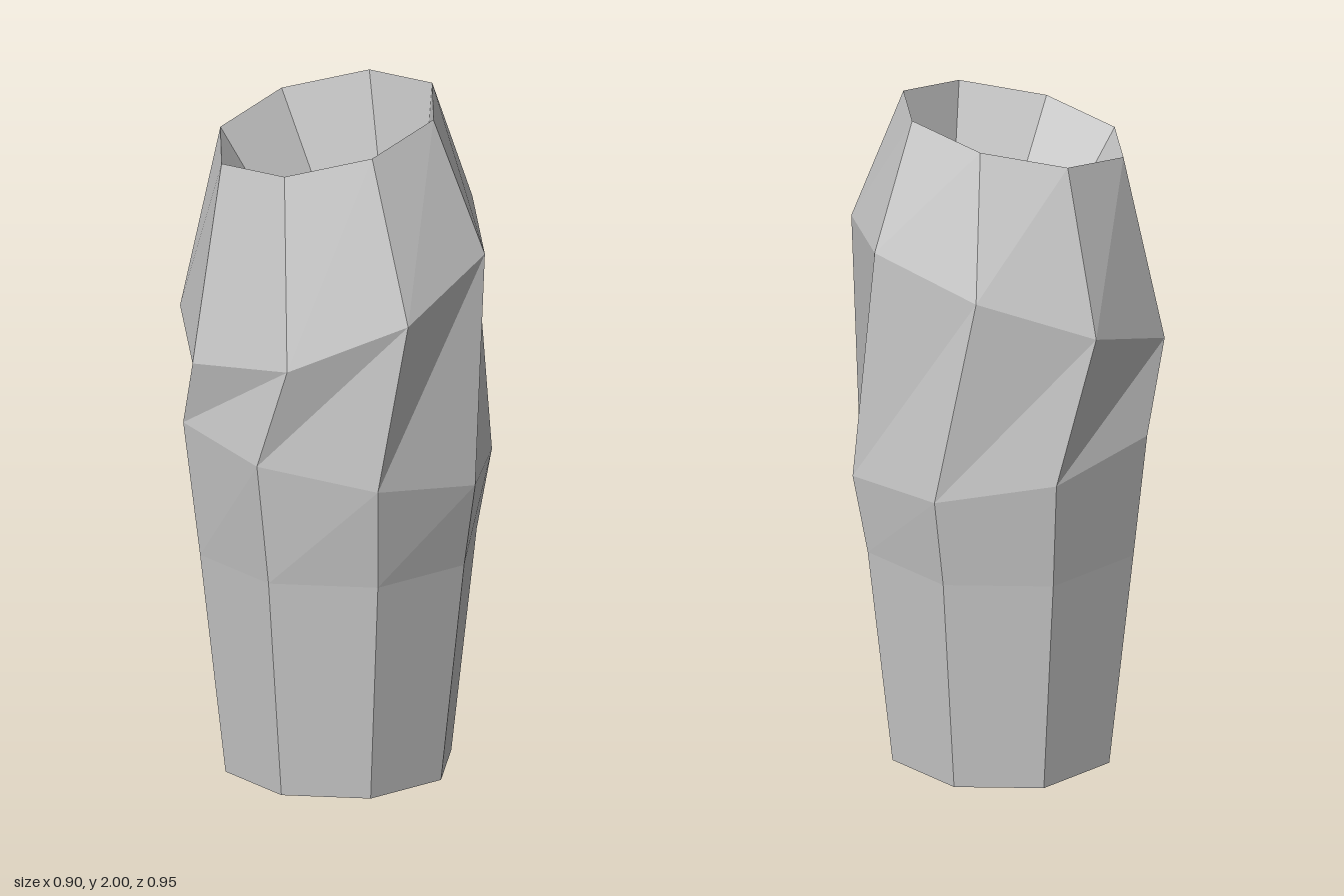
import * as THREE from 'three';

const SIDES = 8;

// Each ring is a tilted octagon: centre, arm towards +x, arm towards +z
const RINGS = [
  [[0, 0, 0], [0.333, 0, 0], [0, 0, 0.333]], // base
  [[0, 0.66, 0], [0.408, 0, 0], [0, 0, 0.408]], // lower body
  [[-0.0025, 0.98, 0], [0.4525, -0.08, 0.01], [-0.0125, -0.015, 0.46]], // waist bend
  [[-0.0175, 1.45, 0], [0.4375, 0.18, -0.087], [0.0875, 0.01, 0.475]], // twisted shoulder
  [[-0.034, 1.9225, 0], [0.3215, 0.0775, -0.038], [0.039, 0.0025, 0.3315]], // rim
  [[0.022, 1.685, -0.005], [0.245, 0.058, -0.03], [0.0275, 0, 0.255]], // inner edge of the hollow
];
const HOLLOW_BOTTOM = [0.07, 1.475, -0.01];

function ringPoints([centre, u, v]) {
  return Array.from({ length: SIDES }, (_, i) => {
    const a = (i / SIDES) * Math.PI * 2;
    return centre.map((c, k) => c + u[k] * Math.cos(a) + v[k] * Math.sin(a));
  });
}

function makeMesh(name, positions) {
  const geometry = new THREE.BufferGeometry();
  geometry.setAttribute('position', new THREE.Float32BufferAttribute(positions.flat(), 3));
  geometry.computeVertexNormals();
  const mesh = new THREE.Mesh(
    geometry,
    new THREE.MeshStandardMaterial({ color: 0xcccccc, flatShading: true })
  );
  mesh.name = name;
  return mesh;
}

// Band of faces between neighbouring rings
function bands(rings) {
  const out = [];
  for (let k = 0; k < rings.length - 1; k++) {
    for (let i = 0; i < SIDES; i++) {
      const j = (i + 1) % SIDES;
      const a = rings[k][i], b = rings[k][j], c = rings[k + 1][j], d = rings[k + 1][i];
      out.push(a, d, b, b, d, c);
    }
  }
  return out;
}

// Fan closing a ring at a point
function fan(ring, tip, flip) {
  return ring.flatMap((a, i) => {
    const b = ring[(i + 1) % SIDES];
    return flip ? [tip, a, b] : [a, tip, b];
  });
}

export function createModel() {
  const group = new THREE.Group();
  group.name = 'hollowStump';
  const rings = RINGS.map(ringPoints);

  // Outer shell with a flat base
  group.add(makeMesh('outerShell', [
    ...fan(rings[0], RINGS[0][0], true),
    ...bands(rings.slice(0, 5)),
  ]));

  // Hollow: sloping walls ending in a pointed floor
  group.add(makeMesh('hollowWall', bands(rings.slice(4))));
  group.add(makeMesh('hollowFloor', fan(rings[5], HOLLOW_BOTTOM, false)));
  return group;
}
